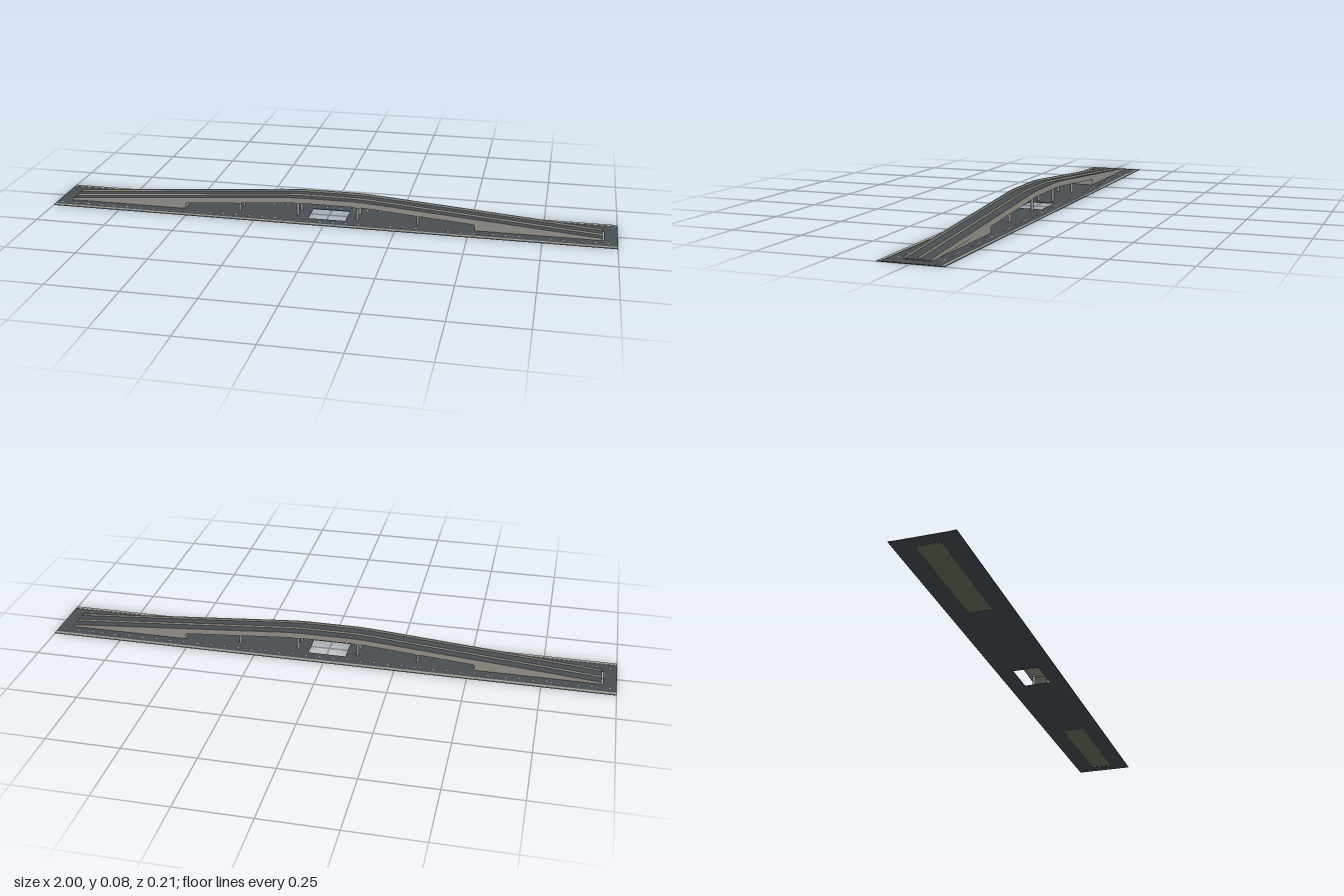
import * as THREE from 'three';

const mat = (name, color, side = THREE.FrontSide) => {
  const m = new THREE.MeshStandardMaterial({ color, side });
  m.name = name;
  return m;
};

// Half profile of the road surface, mirrored in x
const HALF = [[0, 0.068], [0.09, 0.068], [0.13, 0.0665], [0.18, 0.063], [0.525, 0.0361], [0.95, 0.003]];
const PROFILE = [...HALF.slice(1).reverse().map(([x, y]) => [-x, y]), ...HALF];

function roadHeight(x) {
  const a = Math.abs(x);
  for (let i = 1; i < HALF.length; i++) {
    const [x0, y0] = HALF[i - 1], [x1, y1] = HALF[i];
    if (a <= x1) return y0 + (y1 - y0) * (a - x0) / (x1 - x0);
  }
  return 0.003;
}

// Strip following the road, between two height offsets, from z0 to z1
function strip(points, lower, upper, z0, z1) {
  const top = points.map(([x, y]) => new THREE.Vector2(x, y + upper));
  const bottom = points.map(([x, y]) => new THREE.Vector2(x, Math.max(0.0006, lower === null ? 0 : y + lower))).reverse();
  const g = new THREE.ExtrudeGeometry(new THREE.Shape([...bottom, ...top.slice()]), { depth: z1 - z0, bevelEnabled: false });
  return g.translate(0, 0, z0);
}

function rectangle(PathType, x0, x1, z0, z1) {
  return new PathType([[x0, z0], [x1, z0], [x1, z1], [x0, z1]].map(([x, z]) => new THREE.Vector2(x, z)));
}

export function createModel() {
  const asphalt = mat('asphalt', 0x484e52);
  const concrete = mat('concrete', 0x96948c);
  const kerbGrey = mat('kerb grey', 0xa09f98);
  const earth = mat('olive earth', 0x6c755c);
  const paint = mat('lane paint', 0xe4e4de);

  const group = new THREE.Group();
  group.name = 'roadOverpass';
  const add = (name, geometry, material, x = 0, y = 0, z = 0) => {
    const m = new THREE.Mesh(geometry, material);
    m.name = name;
    m.position.set(x, y, z);
    group.add(m);
    return m;
  };
  const box = (name, w, h, d, material, x, y, z) => add(name, new THREE.BoxGeometry(w, h, d), material, x, y, z);

  // Ground road with a central opening and cut-outs below the ramps
  const ground = rectangle(THREE.Shape, -1, 1, -0.105, 0.105);
  ground.holes.push(rectangle(THREE.Path, -0.067, 0.067, -0.047, 0.047));
  for (const s of [-1, 1]) ground.holes.push(rectangle(THREE.Path, s * 0.74 - 0.215, s * 0.74 + 0.215, -0.041, 0.041));
  const groundGeometry = new THREE.ExtrudeGeometry(ground, { depth: 0.002, bevelEnabled: false }).rotateX(-Math.PI / 2);
  add('groundRoad', groundGeometry, asphalt);

  // Bridge deck with its road surface
  add('deck', strip(PROFILE, -0.012, -0.001, -0.041, 0.041), concrete);
  add('deckRoad', strip(PROFILE, -0.001, 0, -0.041, 0.041), asphalt);
  add('medianBarrier', strip(PROFILE, 0, 0.007, -0.002, 0.002), kerbGrey);

  for (const s of [-1, 1]) {
    // Kerbs, outer barriers and lane dashes
    box('sidewalk', 2, 0.001, 0.013, kerbGrey, 0, 0.0025, s * 0.0985);
    add('sideBarrier', strip(PROFILE, -0.013, 0.007, s * 0.0435 - 0.0025, s * 0.0435 + 0.0025), concrete);
    for (let i = 0; i < 40; i++) {
      box('laneDash', 0.018, 0.0004, 0.0012, paint, -0.975 + i * 0.05, 0.0022, s * 0.069);
    }

    // Earth-filled ramp between retaining walls
    const ramp = [[s * 0.525, roadHeight(0.525)], [s * 0.95, roadHeight(0.95)]];
    if (s < 0) ramp.reverse();
    add('rampFill', strip(ramp, null, -0.002, -0.04, 0.04), earth);
    for (const t of [-1, 1]) {
      add('retainingWall', strip(ramp, null, -0.002, t * 0.0425 - 0.002, t * 0.0425 + 0.002), concrete);
    }
    box('abutment', 0.008, roadHeight(0.525) - 0.006, 0.088, concrete, s * 0.523, (roadHeight(0.525) - 0.006) / 2 + 0.001, 0);

    // Piers: paired columns below a cross beam
    for (const x of [0.107, 0.32, 0.525]) {
      const top = roadHeight(x) - 0.011;
      box('pierCap', 0.018, 0.006, 0.084, concrete, s * x, top - 0.003, 0);
      for (const z of [-0.027, 0.027]) {
        add('pierColumn', new THREE.CylinderGeometry(0.005, 0.005, top - 0.005, 12), concrete, s * x, (top - 0.005) / 2 + 0.001, z);
      }
    }
  }
  return group;
}
